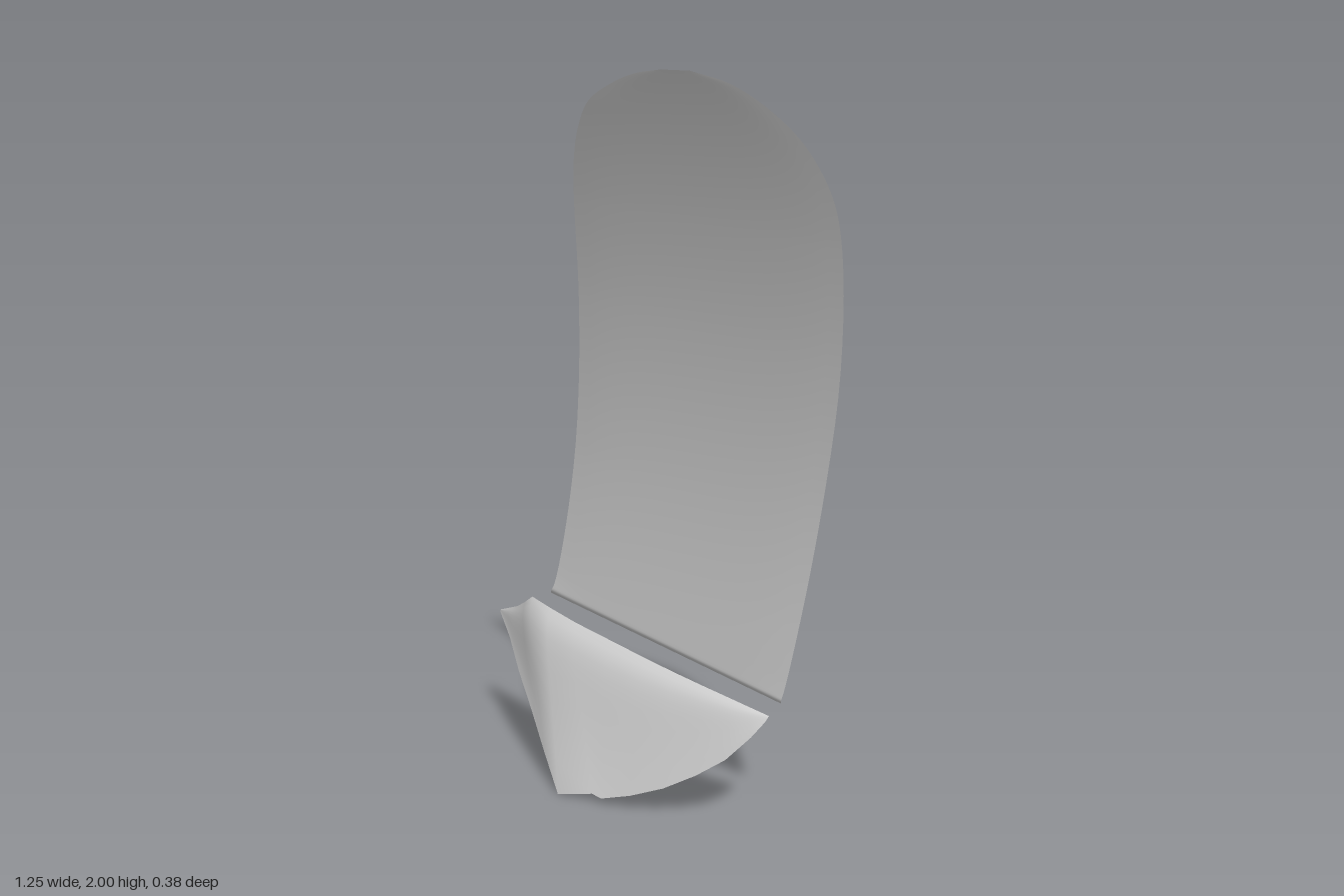
import * as THREE from 'three';

// Smooth surface through a grid of points: rows x cols, point(row, col) -> [x, y, z]
function gridSurface(name, rows, cols, point) {
  const pos = [], idx = [];
  for (let r = 0; r <= rows; r++) {
    for (let c = 0; c <= cols; c++) pos.push(...point(r, c));
  }
  for (let r = 0; r < rows; r++) {
    for (let c = 0; c < cols; c++) {
      const a = r * (cols + 1) + c, d = a + cols + 1;
      idx.push(a, a + 1, d, a + 1, d + 1, d);
    }
  }
  const geo = new THREE.BufferGeometry();
  geo.setAttribute('position', new THREE.Float32BufferAttribute(pos, 3));
  geo.setIndex(idx);
  geo.computeVertexNormals();
  const mat = new THREE.MeshStandardMaterial({ color: 0xcccccc, side: THREE.DoubleSide });
  const mesh = new THREE.Mesh(geo, mat);
  mesh.name = name;
  return mesh;
}

const lerp = THREE.MathUtils.lerp;
const spline = (pts) => new THREE.CatmullRomCurve3(pts.map(([x, y]) => new THREE.Vector3(x, y, 0)));

// Long blade: two paired edges, bent forward towards the rounded tip
function createBlade() {
  const right = spline([[-0.40, 0.495], [-0.385, 0.515], [-0.37, 0.56], [-0.33, 0.73], [-0.28, 0.97],
    [-0.20, 1.40], [-0.145, 1.67], [-0.105, 1.79], [-0.06, 1.87], [-0.01, 1.925], [0.07, 1.965], [0.15, 1.99], [0.23, 2.0]]);
  const left = spline([[0.39, 0.345], [0.397, 0.365], [0.41, 0.42], [0.448, 0.61], [0.51, 0.93],
    [0.58, 1.29], [0.62, 1.59], [0.62, 1.70], [0.60, 1.775], [0.56, 1.85], [0.49, 1.92], [0.41, 1.97], [0.31, 1.998]]);
  const rows = 60, cols = 20;
  return gridSurface('blade', rows, cols, (r, c) => {
    const t = r / rows, u = c / cols;
    const a = right.getPoint(t), b = left.getPoint(t);
    const y = lerp(a.y, b.y, u);
    const bend = -0.147 + 0.135 * Math.max(0, y - 0.5) ** 2.275;
    const rim = 0.012 * Math.abs(2 * u - 1) ** 5 * Math.min(1, t * 3) * (1 - t);
    const lip = 0.012 * Math.max(0, 1 - t * 12) ** 2; // base edge turned back
    return [lerp(a.x, b.x, u), y, bend - rim - lip];
  });
}

// Short lower guard: spanned between its upper and lower edges
function createGuard() {
  const top = [[-0.622, 0.385, -0.19], [-0.58, 0.402, -0.18], [-0.53, 0.424, -0.16], [-0.48, 0.455, -0.135],
    [-0.43, 0.49, -0.11], [-0.35, 0.477, -0.094], [-0.25, 0.457, -0.084], [-0.12, 0.434, -0.078], [0, 0.411, -0.075],
    [0.10, 0.392, -0.075], [0.20, 0.375, -0.075], [0.29, 0.36, -0.076], [0.35, 0.349, -0.078], [0.40, 0.34, -0.08]];
  const bottom = [[-0.625, 0.379, -0.19], [-0.55, 0.325, -0.145], [-0.46, 0.255, -0.08], [-0.37, 0.18, -0.025],
    [-0.28, 0.095, 0.03], [-0.19, 0.005, 0.08], [-0.08, 0.032, 0.065], [-0.05, 0.025, 0.062], [0.04, 0.055, 0.05],
    [0.14, 0.10, 0.034], [0.23, 0.155, 0.012], [0.31, 0.215, -0.01], [0.37, 0.285, -0.04], [0.395, 0.325, -0.068]];
  const span = [0, 0.05, 0.1, 0.16, 0.24, 0.35, 0.5, 0.65, 0.82, 1];
  const bulge = [0, 0.011, 0.018, 0.021, 0.021, 0.018, 0.012, 0.007, 0.002, 0];
  const cols = top.length - 1, rows = span.length - 1;
  return gridSurface('lowerGuard', rows, cols, (r, c) => {
    const p = top[c].map((v, i) => lerp(v, bottom[c][i], span[rows - r]));
    p[2] += bulge[rows - r] * Math.sin(Math.PI * c / cols);
    return p;
  });
}

export function createModel() {
  const model = new THREE.Group();
  model.name = 'bladeAndGuard';
  model.add(createBlade(), createGuard());
  return model;
}
